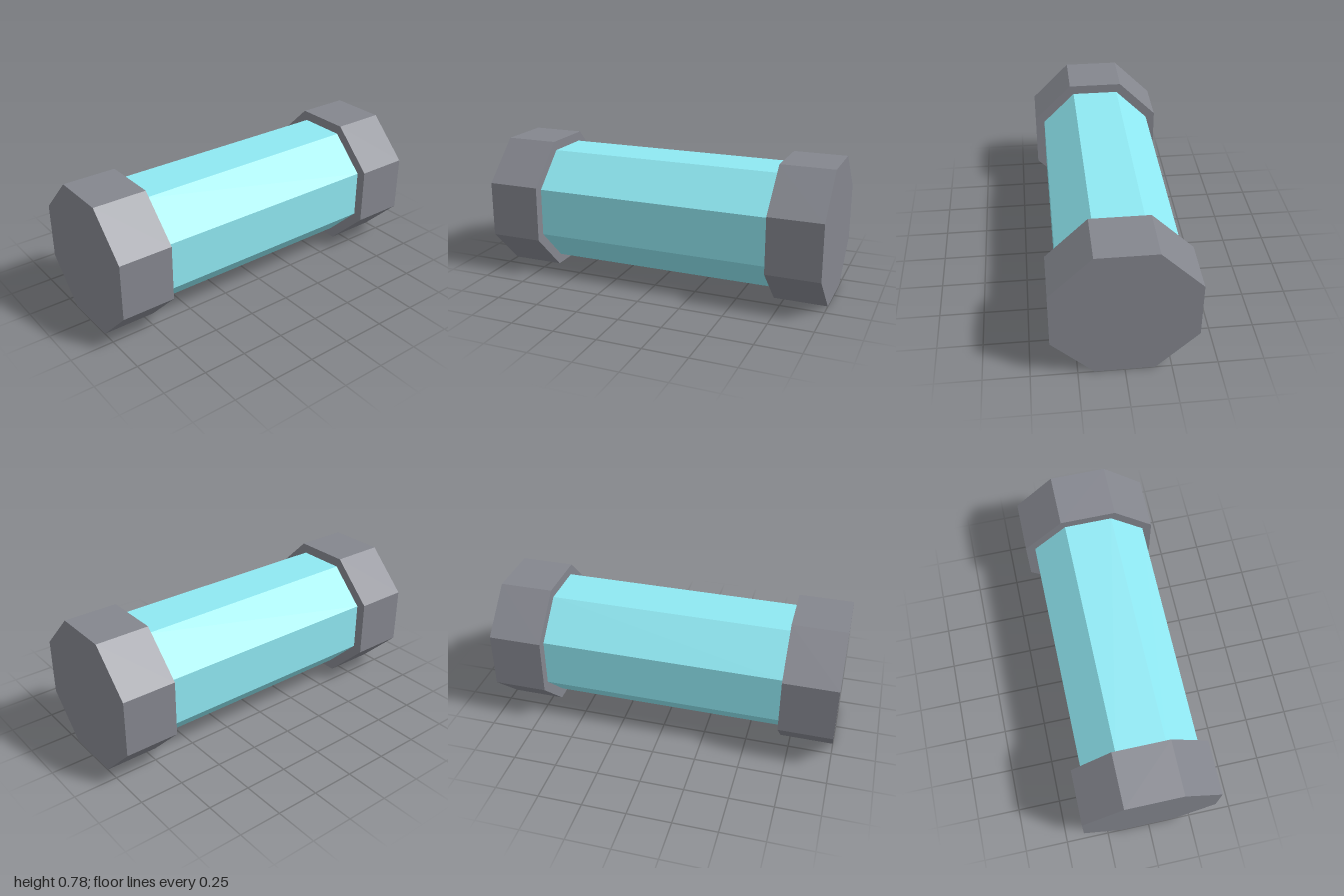
import * as THREE from 'three';

const HALF_LENGTH = 1;
const CAP_LENGTH = 0.307;
const CENTRE_Y = 0.39;

// Eight-sided prism lying along x, with flats facing up, down, front and back
function octagonBar(name, apothem, length, x, color) {
  const radius = apothem / Math.cos(Math.PI / 8);
  const geometry = new THREE.CylinderGeometry(radius, radius, length, 8, 1, false, Math.PI / 8);
  geometry.rotateZ(Math.PI / 2);
  const mesh = new THREE.Mesh(geometry, new THREE.MeshStandardMaterial({ color, flatShading: true }));
  mesh.name = name;
  mesh.position.set(x, CENTRE_Y, 0);
  return mesh;
}

export function createModel() {
  const group = new THREE.Group();
  group.name = 'canister';

  // Coloured body between the caps
  group.add(octagonBar('body', 0.335, 2 * (HALF_LENGTH - CAP_LENGTH), 0, 0x8fe8f2));

  // Wider cap at each end
  for (const side of [-1, 1]) {
    const name = side > 0 ? 'leftCap' : 'rightCap';
    group.add(octagonBar(name, 0.39, CAP_LENGTH, side * (HALF_LENGTH - CAP_LENGTH / 2), 0x84868e));
  }
  return group;
}
